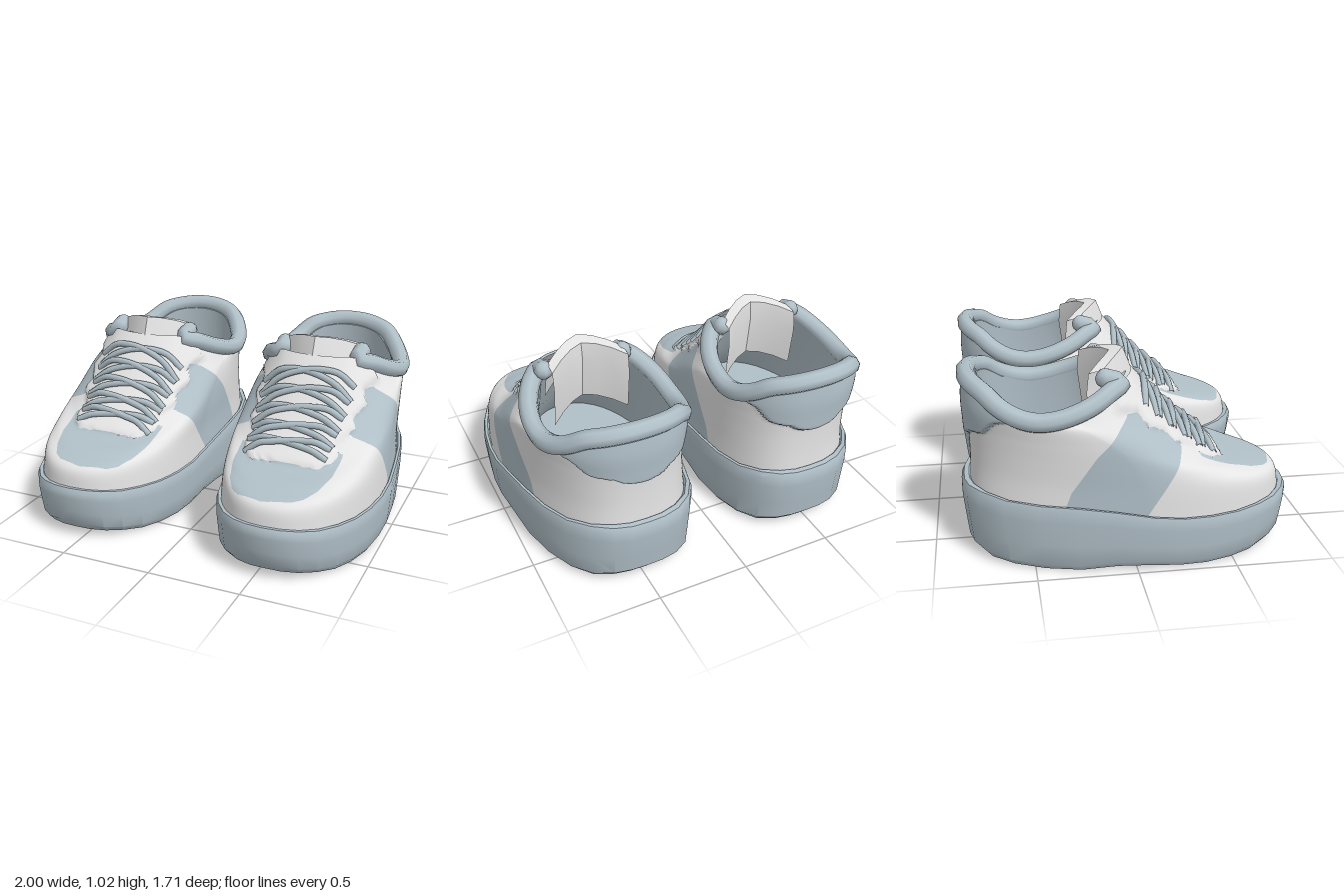
import * as THREE from 'three';
import { toCreasedNormals } from 'three/addons/utils/BufferGeometryUtils.js';

const white = new THREE.MeshStandardMaterial({ color: 0xe4e4e4, side: THREE.DoubleSide });
white.name = 'white leather';
const blue = new THREE.MeshStandardMaterial({ color: 0xb0bfc7, side: THREE.DoubleSide });
blue.name = 'blue grey';

// Linear lookup in a list of [key, value] pairs with rising keys
function look(table, k) {
  if (k <= table[0][0]) return table[0][1];
  for (let i = 1; i < table.length; i++) {
    const [k0, v0] = table[i - 1], [k1, v1] = table[i];
    if (k <= k1) return v0 + (v1 - v0) * (k - k0) / (k1 - k0);
  }
  return table[table.length - 1][1];
}

// Heights along z
const soleTop = [[-0.86, 0.37], [-0.78, 0.385], [-0.6, 0.36], [-0.2, 0.345], [0, 0.305], [0.2, 0.275], [0.45, 0.265], [0.75, 0.28], [0.86, 0.3]];
const soleBottom = [[-0.85, 0.045], [-0.7, 0.01], [-0.3, 0], [-0.15, 0.02], [0, 0.03], [0.2, 0.01], [0.4, 0], [0.6, 0.01], [0.78, 0.04], [0.86, 0.075]];
const collarY = [[-0.8, 0.925], [-0.7, 0.88], [-0.62, 0.81], [-0.5, 0.775], [-0.35, 0.785], [-0.2, 0.84], [-0.1, 0.89], [-0.03, 0.92]];

// Outline point: rounded toe, squarer heel that leans inward. Returns [x, z, cosine part]
function outline(a, cx, rx, zc, zf, zb, nBack, lean) {
  const s = Math.sin(a), c = Math.cos(a), n = c > 0 ? 2.2 : nBack;
  const r = (Math.abs(s) ** n + Math.abs(c) ** n) ** (-1 / n);
  return [cx + rx * r * s + lean * Math.min(r * c, 0), zc + (c > 0 ? zf - zc : zc - zb) * r * c, r * c];
}

// Surface grid from fn(column, row) -> Vector3; closed joins the last column to the first.
// Where field(point) > 0 the faces go to the second group, cut cleanly along the zero line.
function grid(cols, rows, closed, fn, field) {
  const P = [], parts = [[], []], cuts = new Map();
  for (let j = 0; j < rows; j++) for (let i = 0; i < cols; i++) P.push(fn(i, j));
  const f = P.map(p => field ? field(p) : -1);
  const cut = (a, b) => {
    const key = Math.min(a, b) + '_' + Math.max(a, b);
    if (!cuts.has(key)) {
      cuts.set(key, P.length);
      P.push(P[a].clone().lerp(P[b], f[a] / (f[a] - f[b])));
    }
    return cuts.get(key);
  };
  const tri = (...t) => {
    const s = t.map(k => f[k] > 0 ? 1 : 0), sum = s[0] + s[1] + s[2];
    if (sum === 0 || sum === 3) return parts[s[0]].push(...t);
    const odd = s.indexOf(sum === 1 ? 1 : 0);
    const a = t[odd], b = t[(odd + 1) % 3], c = t[(odd + 2) % 3], ab = cut(a, b), ac = cut(a, c);
    parts[s[odd]].push(a, ab, ac);
    parts[1 - s[odd]].push(ab, b, c, ab, c, ac);
  };
  for (let j = 0; j < rows - 1; j++) for (let i = 0; i < (closed ? cols : cols - 1); i++) {
    const a = j * cols + i, b = j * cols + (i + 1) % cols;
    tri(a, b, a + cols);
    tri(b, b + cols, a + cols);
  }
  const g = new THREE.BufferGeometry().setFromPoints(P);
  g.setIndex([...parts[0], ...parts[1]]);
  if (field) {
    g.addGroup(0, parts[0].length, 0);
    g.addGroup(parts[0].length, parts[1].length, 1);
  }
  g.computeVertexNormals();
  return g;
}

// Panel layout on the upper; each function is positive inside its panel
const stayWidth = [[-0.1, 0.34], [0.03, 0.28], [0.06, 0.32], [0.17, 0.27], [0.2, 0.3], [0.33, 0.22], [0.36, 0.26], [0.42, 0.24], [0.48, 0.18]];
const capWidth = [[0.33, 0.28], [0.5, 0.27], [0.62, 0.235], [0.7, 0.19], [0.74, 0.14], [0.775, 0]];
const panelFront = [[0.3, 0.05], [0.6, 0.25], [0.8, 0.3]];
const panelBack = [[0.34, -0.35], [0.42, -0.32], [0.6, -0.2], [0.77, -0.04]];
const tabEdge = [[-0.81, 0.6], [-0.78, 0.66], [-0.72, 0.68], [-0.67, 0.75], [-0.55, 0.78]];
const within = (p, widths) => look(widths, p.z) - Math.abs(p.x - 0.52);
const stay = p => Math.min(0.48 - p.z, p.z + 0.1, p.y - 0.44, within(p, stayWidth));
const heelTab = p => Math.min(-0.55 - p.z, p.y - look(tabEdge, p.z));
const toeCap = p => Math.min(p.z - 0.345, 0.775 - p.z, p.y - 0.38, within(p, capWidth));
const sidePanel = p => Math.min(0.78 - p.y, look(panelFront, p.y) - p.z, p.z - look(panelBack, p.y));
const bluePart = p => Math.max(heelTab(p), Math.min(Math.max(toeCap(p), sidePanel(p)), -stay(p)));

// Rings of the upper: cx, rx, zc, zFront, zBack, heel squareness, heel lean, y front, y side, y back
const rings = [
  [0.545, 0.425, 0.08, 0.822, -0.805, 2.7, 0.06],
  [0.545, 0.42, 0.05, 0.79, -0.8, 2.6, 0.06, 0.385, 0.42, 0.47],
  [0.54, 0.42, 0, 0.68, -0.8, 2.5, 0.05, 0.425, 0.53, 0.58],
  [0.535, 0.415, -0.1, 0.47, -0.805, 2.4, 0.04, 0.485, 0.64, 0.69],
  [0.53, 0.4, -0.25, 0.24, -0.81, 2.3, 0.03, 0.66, 0.74, 0.8],
  [0.52, 0.37, -0.4, 0.01, -0.8, 2.1, 0.02],
];
function ringPoint(k, a) {
  const r = rings[k], [x, z, c] = outline(a, ...r.slice(0, 7));
  let y;
  if (k === 0) y = look(soleTop, z) - 0.03;
  else if (k === 5) y = look(collarY, z);
  else y = r[8] + Math.abs(c) * ((c > 0 ? r[7] : r[9]) - r[8]);
  return new THREE.Vector3(x, y, z);
}

function makeUpper() {
  const cols = 180, rows = 56;
  const ribs = Array.from({ length: cols }, (_, i) =>
    new THREE.CatmullRomCurve3(rings.map((_, k) => ringPoint(k, i / cols * 2 * Math.PI))));
  const point = (i, j) => ribs[i].getPoint(j / (rows - 1));
  const normal = grid(cols, rows, true, point).attributes.normal;
  // Lace stay and heel tab stand slightly proud
  const ramp = d => THREE.MathUtils.clamp(d / 0.015, 0, 1);
  const raised = (i, j) => {
    const p = point(i, j), lift = 0.018 * ramp(stay(p)) + 0.024 * ramp(heelTab(p));
    return p.addScaledVector(new THREE.Vector3().fromBufferAttribute(normal, j * cols + i), lift);
  };
  return new THREE.Mesh(grid(cols, rows, true, raised, bluePart), [white, blue]);
}

function makeSole() {
  // [scale of outline, blend from bottom to top, extra height]
  const steps = [[0.01, 0, 0], [0.3, 0, 0], [0.6, 0, 0], [0.8, 0, 0], [0.93, 0, 0], [0.97, 0, 0.03], [0.985, 0.4, 0],
    [1, 0.75, 0], [1, 1, -0.025], [0.985, 1, 0], [0.955, 1, 0], [0.91, 1, -0.04]];
  const cols = 32;
  const g = grid(cols, steps.length, true, (i, j) => {
    const [s, t, dy] = steps[j];
    const [x, z] = outline(i / cols * 2 * Math.PI, 0.55, 0.45, 0.08, 0.858, -0.85, 2.8, 0.07);
    const zs = z * s, lo = look(soleBottom, zs), hi = look(soleTop, zs);
    return new THREE.Vector3(0.55 + (x - 0.55) * s, lo + (hi - lo) * t + dy, zs);
  });
  return new THREE.Mesh(toCreasedNormals(g, 0.6), blue);
}

function makeLining() {
  // Down the inside wall, then across the insole
  const steps = [[0.35, 0.0, -0.78, 0], [0.325, -0.03, -0.75, 0], [0.34, 0.12, -0.75, 0.6], [0.34, 0.3, -0.74, 0.38], [0.003, -0.39, -0.41, 0.38]];
  const cols = 48;
  const g = grid(cols, steps.length, true, (i, j) => {
    const [rx, zf, zb, y] = steps[j];
    const [x, z] = outline(i / cols * 2 * Math.PI, 0.52, rx, -0.4, zf, zb, 2.1, 0.02);
    return new THREE.Vector3(x, y || look(collarY, z), z);
  });
  return new THREE.Mesh(toCreasedNormals(g, 0.8), blue);
}

function makeCollar() {
  const pts = [], n = 22, a0 = 0.62;
  for (let i = 0; i <= n; i++) pts.push(ringPoint(5, a0 + (2 * Math.PI - 2 * a0) * i / n));
  // Both ends fold back beside the tongue
  pts.unshift(new THREE.Vector3(0.74, 0.935, -0.13));
  pts.push(new THREE.Vector3(0.3, 0.935, -0.13));
  const group = new THREE.Group();
  group.add(new THREE.Mesh(new THREE.TubeGeometry(new THREE.CatmullRomCurve3(pts), 80, 0.05, 8), blue));
  for (const p of [pts[0], pts[pts.length - 1]]) {
    const cap = new THREE.Mesh(new THREE.SphereGeometry(0.05, 8, 6), blue);
    cap.position.copy(p);
    group.add(cap);
  }
  return group;
}

function makeTongue() {
  // Cross-section: [height, depth], outer base over the lip to the inner base
  const section = [[-0.25, 0.1], [-0.1, 0.05], [0, 0.01], [-0.015, -0.06], [-0.12, -0.07], [-0.35, -0.04]];
  const g = grid(7, section.length, false, (i, j) => {
    const a = i / 3 - 1, [dy, dz] = section[j];
    return new THREE.Vector3(0.51 + 0.21 * a, 1.025 - 0.055 * a * a + dy, -0.02 - 0.13 * Math.abs(a) ** 1.3 + dz);
  });
  return new THREE.Mesh(toCreasedNormals(g, 0.7), white);
}

function makeLaces(upper) {
  const group = new THREE.Group(), ray = new THREE.Raycaster(), down = new THREE.Vector3(0, -1, 0);
  [0.425, 0.35, 0.27, 0.195, 0.125].forEach((z, row) => {
    for (const side of [-1, 1]) {
      const pts = [];
      for (let i = 0; i <= 6; i++) {
        const a = i / 3 - 1;
        ray.set(new THREE.Vector3(0.51 + side * a * (0.225 + 0.007 * row), 2, z - 0.03 * (1 + a)), down);
        const hit = ray.intersectObject(upper)[0];
        if (hit) pts.push(hit.point.setY(hit.point.y + (Math.abs(a) > 0.9 ? -0.005 : 0.014 + (side > 0 ? 0.008 : 0))));
      }
      group.add(new THREE.Mesh(new THREE.TubeGeometry(new THREE.CatmullRomCurve3(pts), 20, 0.018, 7), blue));
    }
  });
  return group;
}

function makeShoe() {
  const shoe = new THREE.Group();
  const upper = makeUpper();
  const parts = { sole: makeSole(), upper, lining: makeLining(), collar: makeCollar(), tongue: makeTongue(), laces: makeLaces(upper) };
  for (const [name, part] of Object.entries(parts)) {
    part.name = name;
    shoe.add(part);
  }
  return shoe;
}

export function createModel() {
  const model = new THREE.Group();
  model.name = 'platformShoes';
  const left = makeShoe();
  left.name = 'leftShoe';
  const right = left.clone();
  right.name = 'rightShoe';
  right.scale.x = -1;
  model.add(left, right);
  return model;
}
